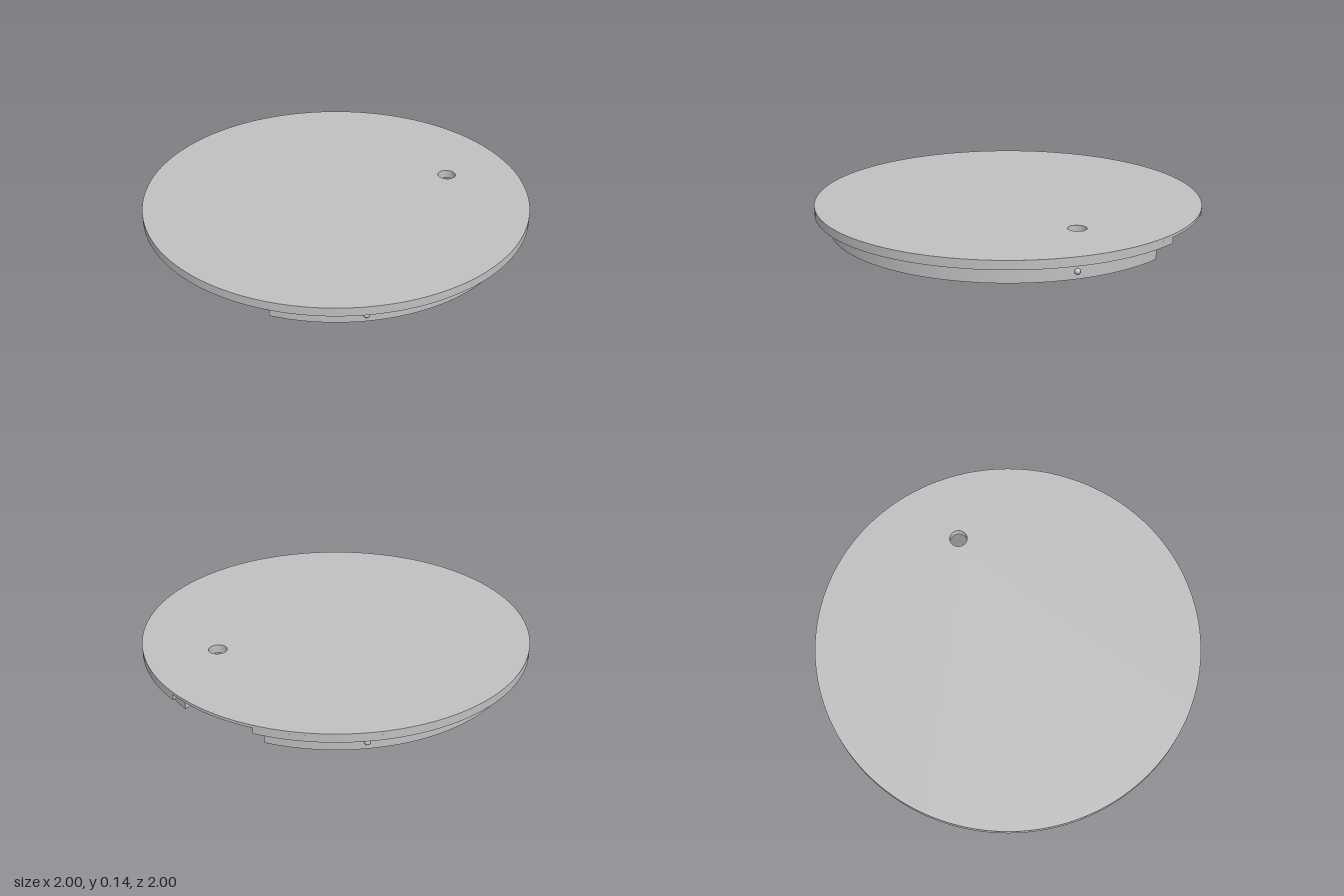
import * as THREE from 'three';
import { toCreasedNormals } from 'three/addons/utils/BufferGeometryUtils.js';

const DISC_R = 1, RING_R = 0.925, INNER_R = 0.832;
const NOTCH_X = 0.82;        // flat back of both notches
const WIDE = 0.245;          // half width of the deep notch on +x
const SLOT = 0.27;           // half width of the shallow slot on -x
const Y_SLOT = 0.03, Y_RING = 0.09, Y_NOTCH = 0.12, Y_TOP = 0.135;

// points along an arc, both ends included
function arc(r, from, to) {
  const n = Math.max(2, Math.ceil(Math.abs(to - from) / (Math.PI / 90)));
  return Array.from({ length: n + 1 }, (_, i) => {
    const a = from + (to - from) * i / n;
    return new THREE.Vector2(r * Math.cos(a), r * Math.sin(a));
  });
}

// horizontal slab of an outline between two heights
function slab(name, shape, y0, y1, material) {
  const flat = new THREE.ExtrudeGeometry(shape, { depth: y1 - y0, bevelEnabled: false, curveSegments: 24 });
  flat.rotateX(-Math.PI / 2);
  const mesh = new THREE.Mesh(toCreasedNormals(flat, 0.5), material);
  mesh.position.y = y0;
  mesh.name = name;
  return mesh;
}

function withHole(points) {
  const shape = new THREE.Shape(points);
  shape.holes.push(new THREE.Path().absarc(0.53, -0.35, 0.047, 0, Math.PI * 2, true));
  return shape;
}

export function createModel() {
  const model = new THREE.Group();
  model.name = 'roundCover';
  const grey = new THREE.MeshStandardMaterial({ color: 0xc0c0c0 });
  grey.name = 'grey';
  const V = (x, y) => new THREE.Vector2(x, y);
  const TAU = Math.PI * 2;

  const wideAngle = Math.asin(WIDE / RING_R);
  const slotAngle = Math.asin(SLOT / RING_R);
  const innerAngle = Math.acos(NOTCH_X / INNER_R);

  // foot of the ring: two halves, parted by the deep notch and the shallow slot
  for (const side of [1, -1]) {
    const half = [
      ...arc(RING_R, wideAngle, Math.PI - slotAngle),
      V(-NOTCH_X, SLOT),
      ...arc(INNER_R, Math.PI - innerAngle, innerAngle),
      V(NOTCH_X, WIDE),
    ].map((p) => V(p.x, p.y * side));
    model.add(slab(side > 0 ? 'ringFootBack' : 'ringFootFront', new THREE.Shape(half), 0, Y_SLOT, grey));
  }

  // upper ring, open only at the deep notch
  const ring = [
    ...arc(RING_R, wideAngle, TAU - wideAngle),
    V(NOTCH_X, -WIDE),
    ...arc(INNER_R, TAU - innerAngle, innerAngle),
    V(NOTCH_X, WIDE),
  ];
  model.add(slab('ringWall', new THREE.Shape(ring), Y_SLOT, Y_RING, grey));

  // lid: notched lower layer and full top layer, both pierced by the round hole
  const lidAngle = Math.asin(WIDE / DISC_R);
  const notched = [...arc(DISC_R, lidAngle, TAU - lidAngle), V(NOTCH_X, -WIDE), V(NOTCH_X, WIDE)];
  model.add(slab('lidUnderside', withHole(notched), Y_RING, Y_NOTCH, grey));
  model.add(slab('lidTop', withHole(arc(DISC_R, 0, TAU).slice(0, -1)), Y_NOTCH, Y_TOP, grey));

  // four small locking bumps around the ring
  const bump = new THREE.SphereGeometry(0.015, 20, 14);
  for (let i = 0; i < 4; i++) {
    const a = Math.PI / 4 + i * Math.PI / 2;
    const mesh = new THREE.Mesh(bump, grey);
    mesh.position.set(RING_R * Math.cos(a), 0.037, RING_R * Math.sin(a));
    mesh.name = 'lockingBump';
    model.add(mesh);
  }
  return model;
}
